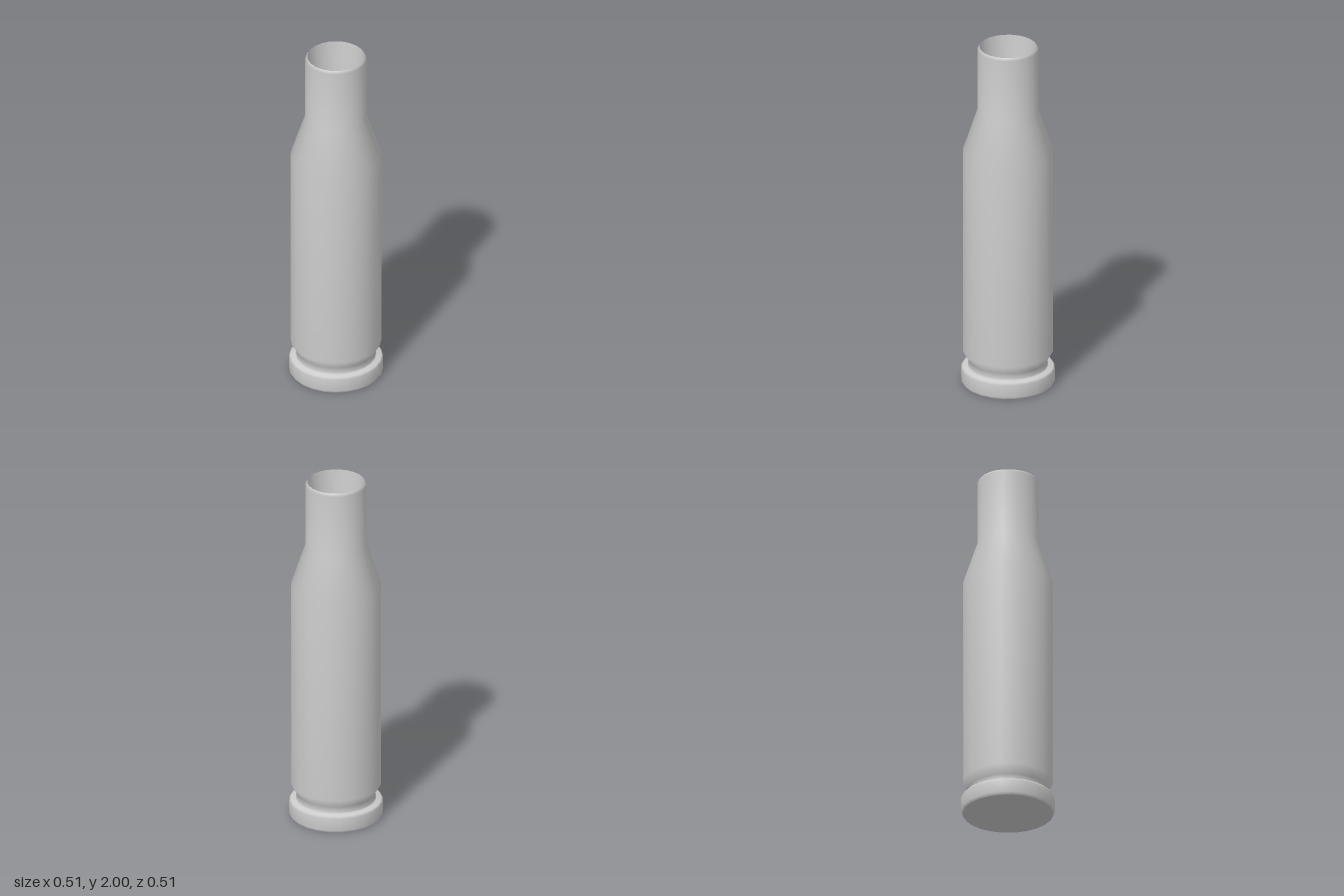
import * as THREE from 'three';

const SIDES = 24;

export function createModel() {
  const group = new THREE.Group();
  group.name = 'bottleneckCase';
  const material = new THREE.MeshStandardMaterial({ color: 0xcccccc });

  // Each part is a turned profile of [radius, height] points, smooth within itself.
  const turn = (name, profile) => {
    const points = profile.map(([r, y]) => new THREE.Vector2(r, y));
    const mesh = new THREE.Mesh(new THREE.LatheGeometry(points, SIDES), material);
    mesh.name = name;
    group.add(mesh);
  };

  // Flat underside
  turn('baseDisc', [[0, 0], [0.247, 0]]);

  // Rim, groove, body, shoulder and neck as one smooth skin
  turn('caseWall', [
    [0.247, 0], [0.257, 0.015], [0.257, 0.085], [0.248, 0.097],
    [0.222, 0.1], [0.217, 0.108], [0.217, 0.14],
    [0.247, 0.19], [0.247, 1.38],
    [0.168, 1.62], [0.168, 1.985], [0.157, 2],
  ]);

  // Tapered bore and its flat floor
  turn('neckBore', [[0.157, 2], [0.123, 1.6]]);
  turn('boreFloor', [[0.123, 1.6], [0, 1.6]]);

  return group;
}
